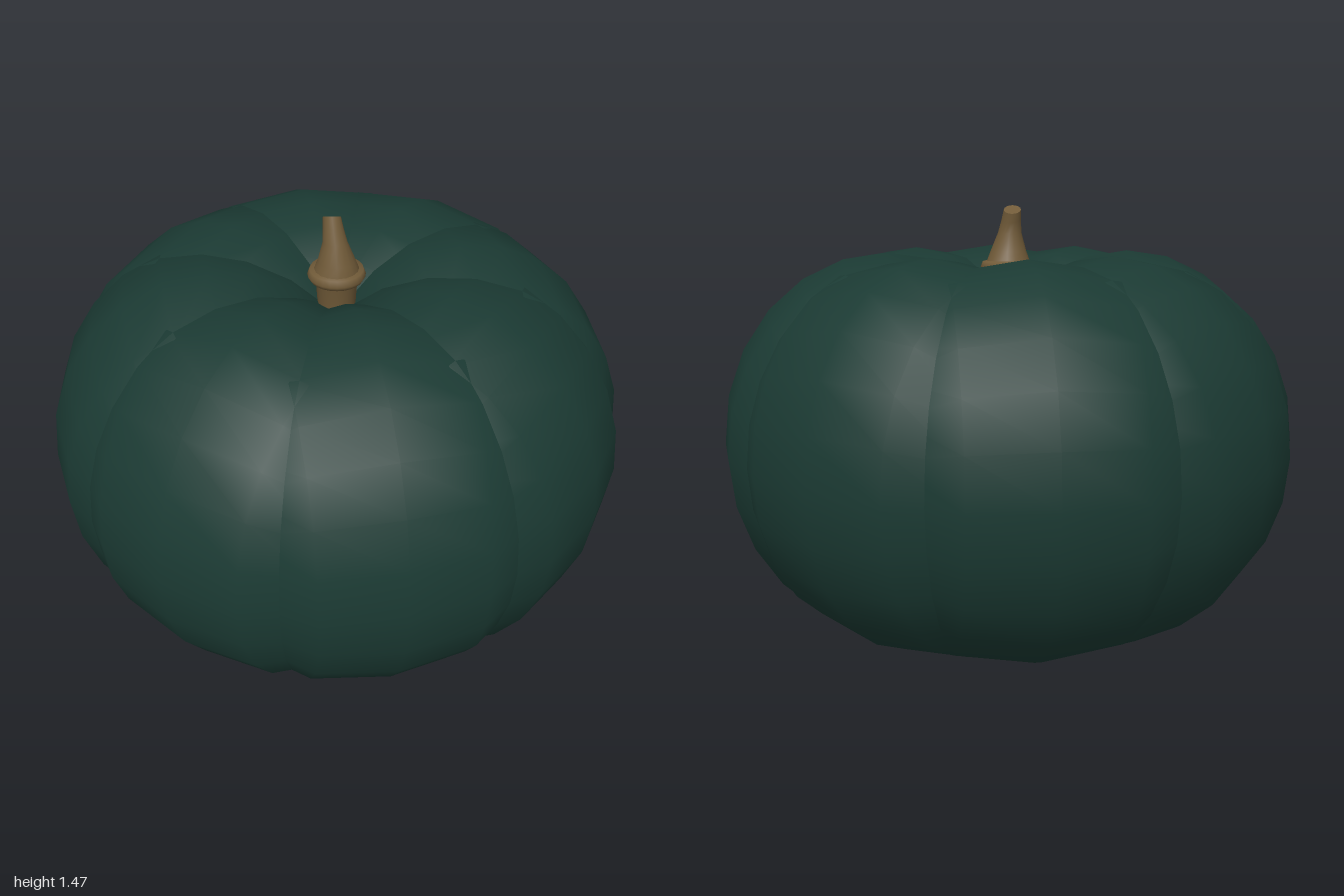
import * as THREE from 'three';

const RIBS = 8;
const CENTRE_Y = 0.657;

// Skin joined through closed rings of points, with both ends capped.
function skin(rings) {
  const n = rings[0].length;
  const positions = rings.flat().flatMap((p) => [p.x, p.y, p.z]);
  const index = [];
  for (let j = 0; j < rings.length - 1; j++) {
    for (let i = 0; i < n; i++) {
      const a = j * n + i, b = j * n + (i + 1) % n;
      index.push(a, a + n, b, b, a + n, b + n);
    }
  }
  const geometry = new THREE.BufferGeometry();
  geometry.setAttribute('position', new THREE.Float32BufferAttribute(positions, 3));
  geometry.setIndex(index);
  geometry.computeVertexNormals();
  return geometry;
}

// One fat rib: elliptical rings stacked along the tangential (z) axis.
function ribGeometry() {
  const half = [[0.265, 0.938], [0.455, 0.73], [0.6, 0.4], [0.66, 0.001]];
  const rows = [...half.map(([z, k]) => [-z, k]).reverse(), [0, 1], ...half];
  return skin(rows.map(([z, k]) => Array.from({ length: 24 }, (_, i) => {
    const t = -i / 24 * Math.PI * 2;
    return new THREE.Vector3(0.428 + 0.575 * k * Math.cos(t), 0.657 * k * Math.sin(t), z);
  })));
}

// Bent stem: circles shrinking and leaning backwards as they rise.
function stemGeometry() {
  const sections = [ // x, y, z, radius, tilt
    [0, 1.27, 0, 0.08, 0],
    [0, 1.315, 0.005, 0.063, 0],
    [-0.005, 1.38, 0, 0.041, -0.1],
    [-0.011, 1.425, -0.012, 0.034, -0.35],
    [-0.015, 1.459, -0.022, 0.03, -0.5],
  ];
  return skin(sections.map(([x, y, z, r, tilt]) => Array.from({ length: 16 }, (_, i) => {
    const t = i / 16 * Math.PI * 2;
    return new THREE.Vector3(r * Math.cos(t), 0, -r * Math.sin(t) * -1)
      .applyAxisAngle(new THREE.Vector3(1, 0, 0), tilt)
      .add(new THREE.Vector3(x, y, z));
  })));
}

export function createModel() {
  const model = new THREE.Group();
  model.name = 'pumpkin';
  const green = new THREE.MeshStandardMaterial({ color: 0x1b3a33 });
  const brown = new THREE.MeshStandardMaterial({ color: 0x705a38 });
  const add = (parent, name, geometry, material) => {
    const mesh = new THREE.Mesh(geometry, material);
    mesh.name = name;
    parent.add(mesh);
    return mesh;
  };

  // Overlapping ribs around the core
  const body = new THREE.Group();
  body.name = 'body';
  body.position.y = CENTRE_Y;
  const rib = ribGeometry();
  for (let i = 0; i < RIBS; i++) {
    add(body, 'rib', rib, green).rotation.y = Math.PI / 16 + i * Math.PI * 2 / RIBS;
  }
  model.add(body);

  // Stem with its collar and a cut tip
  const stem = new THREE.Group();
  stem.name = 'stem';
  const shaft = add(stem, 'stemShaft', stemGeometry(), brown);
  shaft.material = brown.clone();
  shaft.material.side = THREE.DoubleSide;
  const tip = add(stem, 'stemTip', new THREE.CircleGeometry(0.03, 16), brown);
  tip.position.set(-0.015, 1.459, -0.022);
  tip.rotation.x = -Math.PI / 2 - 0.5;
  const collar = [[0.06, 1.08], [0.07, 1.235], [0.09, 1.245], [0.098, 1.26], [0.09, 1.28], [0.06, 1.285]]
    .map(([r, y]) => new THREE.Vector2(r, y));
  add(stem, 'stemCollar', new THREE.LatheGeometry(collar, 24), brown);
  model.add(stem);
  return model;
}
